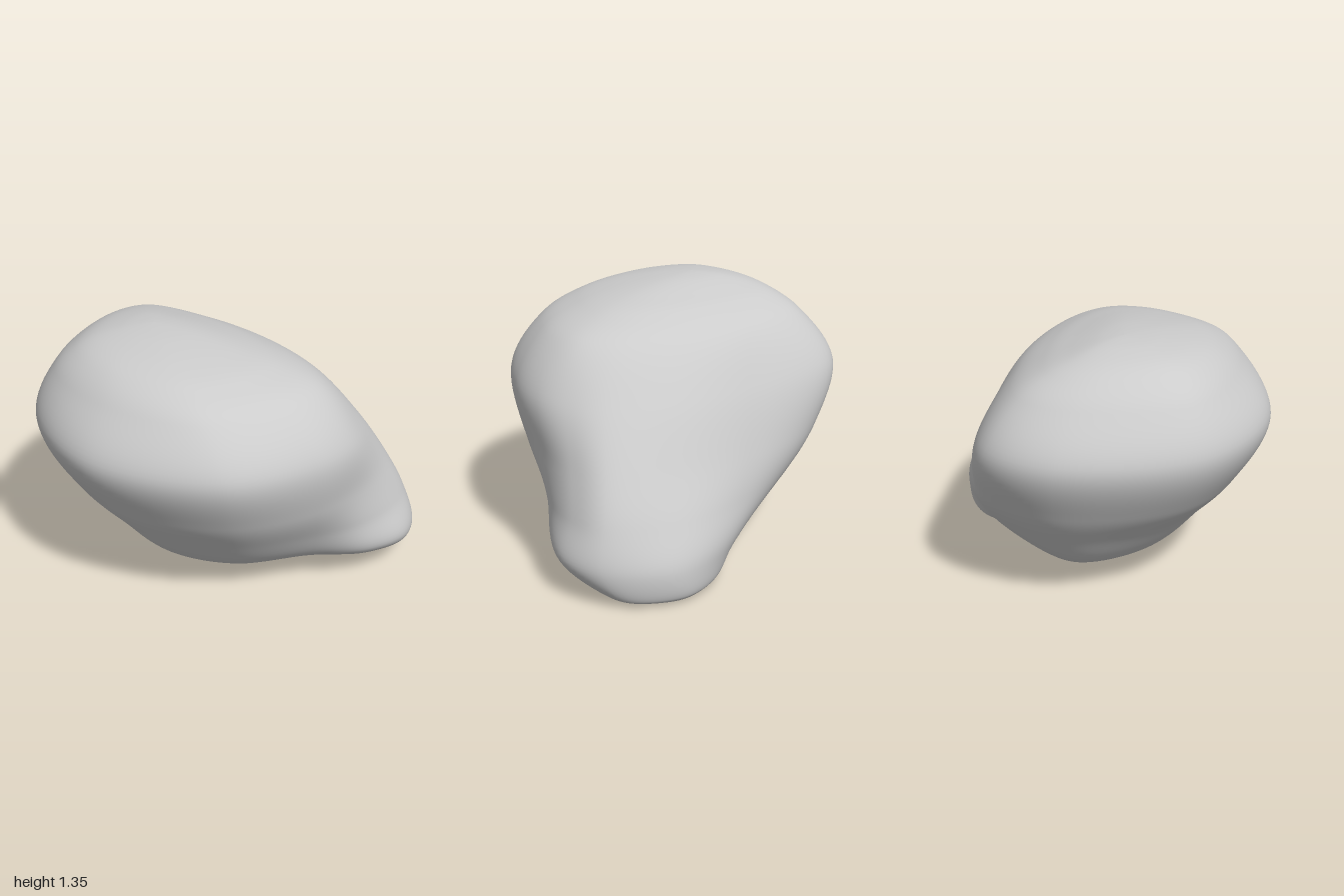
import * as THREE from 'three';
import { mergeVertices } from 'three/addons/utils/BufferGeometryUtils.js';

// Horizontal sections: height, then [x, z] pairs running left end, front, foot, back.
const SECTIONS = [
  [0.05, [-0.26, 0.04, -0.15, 0.18, 0.04, 0.24, 0.38, 0.15, 0.63, 0.14, 0.87, 0.11, 0.96, -0.03, 0.83, -0.32, 0.53, -0.42, 0.14, -0.26, -0.19, -0.21]],
  [0.2, [-0.5, 0.02, -0.35, 0.31, 0, 0.45, 0.4, 0.41, 0.7, 0.4, 0.92, 0.28, 1, 0.06, 0.88, -0.28, 0.58, -0.46, 0, -0.49, -0.42, -0.38]],
  [0.4, [-0.68, 0, -0.48, 0.43, -0.02, 0.61, 0.4, 0.53, 0.68, 0.42, 0.87, 0.25, 0.94, 0.06, 0.78, -0.27, 0.45, -0.5, -0.11, -0.67, -0.53, -0.51]],
  [0.6, [-0.86, 0, -0.62, 0.51, -0.08, 0.74, 0.38, 0.63, 0.64, 0.44, 0.78, 0.27, 0.84, 0.08, 0.67, -0.23, 0.32, -0.52, -0.21, -0.78, -0.63, -0.6]],
  [0.9, [-1, 0, -0.74, 0.58, -0.12, 0.845, 0.36, 0.69, 0.56, 0.51, 0.64, 0.33, 0.65, 0.13, 0.5, -0.18, 0.17, -0.5, -0.35, -0.84, -0.73, -0.655]],
  [1.15, [-0.89, 0, -0.66, 0.44, -0.2, 0.69, 0.18, 0.6, 0.36, 0.47, 0.44, 0.33, 0.43, 0.14, 0.28, -0.15, 0, -0.44, -0.38, -0.66, -0.66, -0.51]],
];
// Crown rings: height, scale, centre x, centre z.
const CROWN = [
  [1.25, 0.76, -0.28, 0.015], [1.3, 0.54, -0.335, 0], [1.335, 0.28, -0.36, -0.03],
  [1.347, 0.1, -0.37, -0.05], [1.35, 0, -0.38, -0.06],
];
const COLUMNS = 11, AROUND = 132, UP = 130;

const toRing = ([y, p]) =>
  Array.from({ length: COLUMNS }, (_, k) => new THREE.Vector3(p[2 * k], y, p[2 * k + 1]));

function controlRings() {
  const rings = SECTIONS.map(toRing);
  const bottom = rings[0], top = rings[rings.length - 1];

  // rounded crown drifting towards the left end
  for (const [y, s, x, z] of CROWN) {
    rings.push(top.map((v) => new THREE.Vector3(x + (v.x + 0.22) * s, y, z + (v.z - 0.02) * s)));
  }

  // underside closing onto a line from the belly to the back of the foot
  const keel = new THREE.Line3(new THREE.Vector3(0, 0, 0.03), new THREE.Vector3(0.74, 0, -0.26));
  for (const [t, y] of [[0.3, 0.018], [0.65, 0.008], [1, 0.005]]) {
    rings.unshift(bottom.map((v) => {
      const p = keel.closestPointToPoint(v, true, new THREE.Vector3());
      return p.lerpVectors(v, p, t).setY(y);
    }));
  }
  return rings;
}

// Smooth loft: curves upward through the rings, then closed curves around.
function blobGeometry() {
  const rings = controlRings();
  const columns = Array.from({ length: COLUMNS }, (_, k) =>
    new THREE.CatmullRomCurve3(rings.map((r) => r[k])));
  const positions = [], index = [];
  for (let i = 0; i <= UP; i++) {
    const loop = new THREE.CatmullRomCurve3(columns.map((c) => c.getPoint(i / UP)), true);
    for (let j = 0; j < AROUND; j++) {
      const v = loop.getPoint(j / AROUND);
      positions.push(v.x, Math.max(v.y, 0), v.z);
      if (i === UP) continue;
      const a = i * AROUND + j, b = i * AROUND + (j + 1) % AROUND;
      index.push(a, b, b + AROUND);
      if (i < UP - 1) index.push(a, b + AROUND, a + AROUND);
    }
  }
  const geometry = new THREE.BufferGeometry();
  geometry.setAttribute('position', new THREE.Float32BufferAttribute(positions, 3));
  geometry.setIndex(index);
  const merged = mergeVertices(geometry, 1e-5);
  merged.computeVertexNormals();
  return merged;
}

export function createModel() {
  const group = new THREE.Group();
  group.name = 'smoothPebble';
  const body = new THREE.Mesh(blobGeometry(), new THREE.MeshStandardMaterial({ color: 0xcccccc }));
  body.name = 'pebbleBody';
  group.add(body);
  return group;
}
